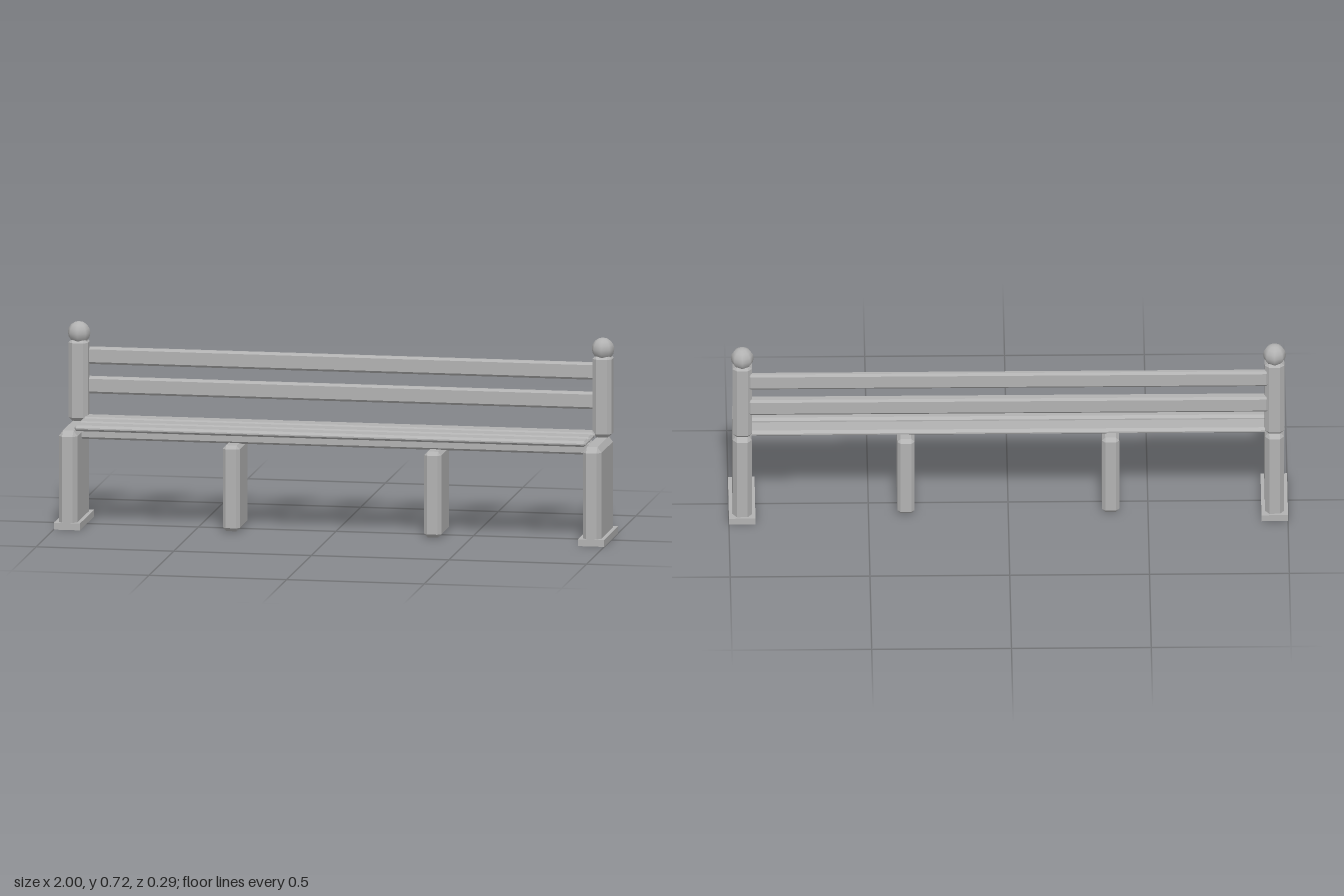
import * as THREE from 'three';
import { ConvexGeometry } from 'three/addons/geometries/ConvexGeometry.js';

// Box between two corners with every edge bevelled; inset is [x, y, z]
function bevelBox(min, max, inset) {
  const c = min.map((v, i) => (v + max[i]) / 2);
  const h = min.map((v, i) => (max[i] - v) / 2);
  const points = [];
  for (const sx of [-1, 1]) for (const sy of [-1, 1]) for (const sz of [-1, 1]) {
    const s = [sx, sy, sz];
    for (let full = 0; full < 3; full++) {
      points.push(new THREE.Vector3(...s.map((k, i) => c[i] + k * (h[i] - (i === full ? 0 : inset[i])))));
    }
  }
  return new ConvexGeometry(points);
}

export function createModel() {
  const bench = new THREE.Group();
  bench.name = 'bench';
  const stone = new THREE.MeshStandardMaterial({ color: 0xb2b2b2 });
  stone.name = 'grey';

  const add = (name, geometry, x = 0, y = 0, z = 0) => {
    const mesh = new THREE.Mesh(geometry, stone);
    mesh.name = name;
    mesh.position.set(x, y, z);
    bench.add(mesh);
  };

  // End supports with foot plates, back posts and ball finials
  for (const [side, s] of [['left', 1], ['right', -1]]) {
    const x = s * 0.952;
    add(side + 'FootPlate', new THREE.BoxGeometry(0.095, 0.025, 0.286), s * 0.9525, 0.0125, 0);
    add(side + 'EndPanel', bevelBox([-0.034, 0.004, -0.133], [0.034, 0.357, 0.138], [0.015, 0.02, 0.02]), x);
    add(side + 'BackPost', bevelBox([-0.035, 0.356, -0.138], [0.035, 0.655, -0.068], [0.015, 0.014, 0.015]), x);
    add(side + 'Finial', new THREE.SphereGeometry(0.041, 8, 8), x, 0.675, -0.103);
    // Inner leg
    add(side + 'InnerLeg', bevelBox([-0.031, 0.003, -0.09], [0.031, 0.315, 0.093], [0.012, 0.013, 0.013]), s * 0.366);
  }

  // Seat slats
  [0.089, 0.002, -0.086].forEach((z, i) => {
    add('seatSlat' + (i + 1), bevelBox([-0.93, 0.356, -0.039], [0.93, 0.377, 0.039], [0.008, 0.008, 0.011]), 0, 0, z);
  });

  // Beam under the seat
  add('seatBeam', bevelBox([-0.93, 0.312, -0.035], [0.93, 0.358, 0.035], [0.008, 0.008, 0.01]));

  // Back rest rails
  [0.483, 0.59].forEach((y, i) => {
    add('backRail' + (i + 1), bevelBox([-0.93, -0.031, -0.136], [0.93, 0.031, -0.11], [0.008, 0.008, 0.007]), 0, y);
  });

  return bench;
}
